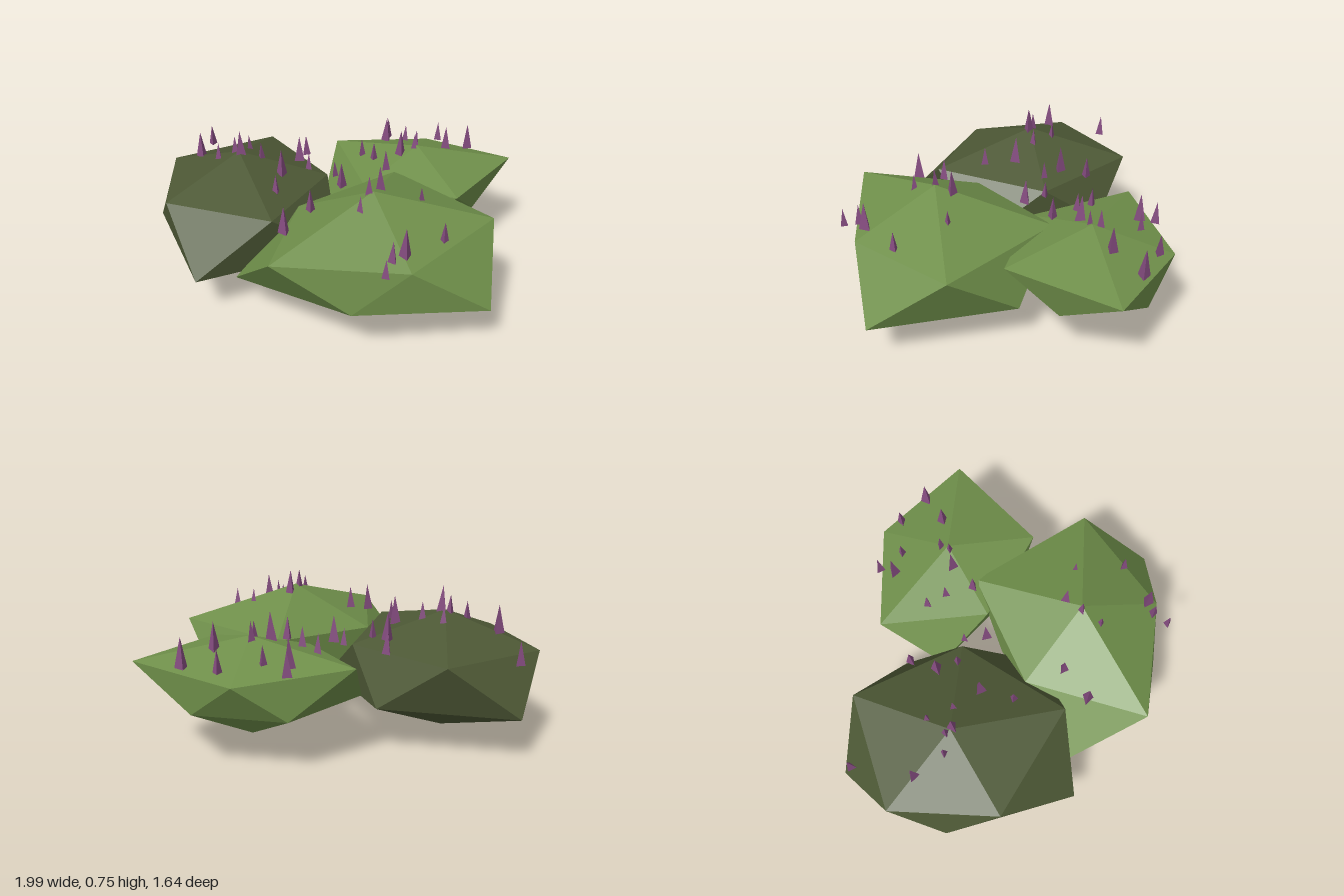
import * as THREE from 'three';

const green = new THREE.MeshStandardMaterial({ color: 0x6f8f4a, flatShading: true, name: 'mossGreen' });
const dark = new THREE.MeshStandardMaterial({ color: 0x4d5835, flatShading: true, name: 'darkOlive' });
const purple = new THREE.MeshStandardMaterial({ color: 0x854c80, flatShading: true, name: 'purple' });

const MIDDLE = 0.355; // height of every clump's centre
const FLATTEN = 0.225; // rise or fall of a ring corner per unit of radius

// Squashed twenty-sided clump: top point, two staggered rings of five, bottom point.
// Ring corners are 72 degrees apart, running from +x towards +z; only their radii vary.
function clumpGeometry(cx, cz, topY, bottomY, upperRadii, lowerRadii) {
  const ring = (radii, offset, side) => radii.map((r, i) => {
    const a = THREE.MathUtils.degToRad(72 * i + offset);
    return [cx + r * Math.cos(a), MIDDLE + side * FLATTEN * r, cz + r * Math.sin(a)];
  });
  const upper = ring(upperRadii, 0, 1);
  const lower = ring(lowerRadii, 36, -1);
  const top = [cx, topY, cz];
  const bottom = [cx, bottomY, cz];

  const pos = [];
  const tri = (a, b, c) => pos.push(...a, ...b, ...c);
  for (let i = 0; i < 5; i++) {
    const j = (i + 1) % 5;
    tri(top, upper[j], upper[i]);
    tri(upper[i], upper[j], lower[i]);
    tri(lower[i], upper[j], lower[j]);
    tri(bottom, lower[i], lower[j]);
  }
  const g = new THREE.BufferGeometry();
  g.setAttribute('position', new THREE.Float32BufferAttribute(pos, 3));
  g.computeVertexNormals();
  return g;
}

// Three-sided spikes at [x, z], sinking away from the peak and varying in height
function addSpikes(group, cx, cz, peak, slope, spots) {
  const cone = new THREE.ConeGeometry(0.23, 1, 3).translate(0, 0.5, 0);
  spots.forEach(([x, z], i) => {
    const spike = new THREE.Mesh(cone, purple);
    spike.name = 'spike';
    spike.position.set(x, peak - slope * Math.hypot(x - cx, z - cz), z);
    spike.scale.setScalar(0.115 + 0.03 * Math.sin(i * 2));
    spike.rotation.y = i * 2.4;
    group.add(spike);
  });
}

function clump(name, material, cx, cz, topY, bottomY, upperRadii, lowerRadii, slope, spots) {
  const group = new THREE.Group();
  group.name = name;
  const body = new THREE.Mesh(clumpGeometry(cx, cz, topY, bottomY, upperRadii, lowerRadii), material);
  body.name = name + 'Body';
  group.add(body);
  addSpikes(group, cx, cz, topY - 0.02, slope, spots);
  return group;
}

export function createModel() {
  const model = new THREE.Group();
  model.name = 'spikyMossClumps';

  model.add(clump('darkClump', dark, -0.55, -0.26, 0.62, 0,
    [0.48, 0.58, 0.46, 0.48, 0.55], [0.64, 0.67, 0.45, 0.59, 0.54], 0.27,
    [[-0.74, -0.74], [-0.77, -0.42], [-0.66, -0.28], [-0.57, -0.28], [-0.54, -0.25], [-0.5, -0.38], [-0.43, -0.26],
      [-0.32, -0.14], [-0.35, 0.03], [-0.17, -0.27], [-0.22, -0.37], [-0.18, -0.51], [-0.03, -0.25], [0, -0.14]]));

  model.add(clump('frontClump', green, 0.12, 0.34, 0.66, 0.05,
    [0.6, 0.43, 0.62, 0.44, 0.59], [0.64, 0.45, 0.68, 0.42, 0.59], 0.36,
    [[-0.18, 0.27], [-0.31, 0.4], [0.05, 0.44], [0.1, 0.34], [0.16, 0.26], [0.36, 0.3],
      [0.43, 0.56], [0.23, 0.69], [0.17, 0.72], [0.13, 0.8]]));

  model.add(clump('backClump', green, 0.45, -0.38, 0.57, 0.08,
    [0.54, 0.47, 0.4, 0.54, 0.4], [0.36, 0.37, 0.54, 0.39, 0.36], 0.2,
    [[0.33, -0.74], [0.31, -0.66], [0.42, -0.63], [0.62, -0.66], [0.77, -0.54], [0.14, -0.46],
      [0.2, -0.37], [0.35, -0.35], [0.45, -0.42], [0.43, -0.37], [0.62, -0.43], [0.25, -0.23]]));

  return model;
}
